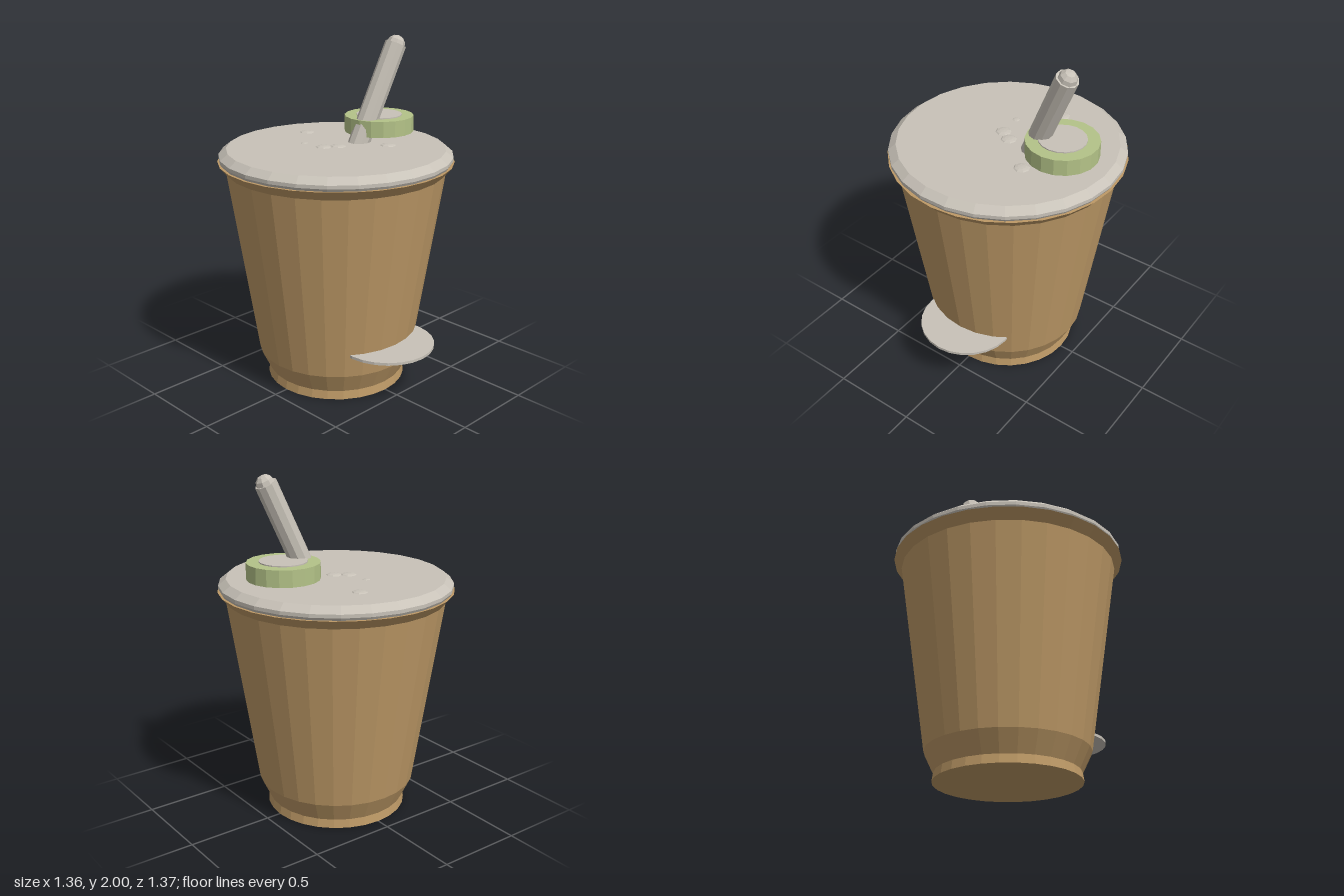
import * as THREE from 'three';

const mat = (name, color) => {
  const m = new THREE.MeshStandardMaterial({ color, flatShading: true });
  m.name = name;
  return m;
};

export function createModel() {
  const brown = mat('kraft brown', 0xbd9966);
  const grey = mat('warm grey', 0xc8c2b8);
  const green = mat('soft green', 0xb4c388);

  const group = new THREE.Group();
  group.name = 'lidded cup';
  const add = (name, geometry, material, x = 0, y = 0, z = 0) => {
    const mesh = new THREE.Mesh(geometry, material);
    mesh.name = name;
    mesh.position.set(x, y, z);
    group.add(mesh);
    return mesh;
  };
  const lathe = (profile, sides) =>
    new THREE.LatheGeometry(profile.map(([r, y]) => new THREE.Vector2(r, y)), sides);

  // Tapered cup with narrow foot and flared lip
  add('cup', lathe([
    [0, 0], [0.413, 0], [0.405, 0.05], [0.463, 0.17],
    [0.632, 1.275], [0.678, 1.33], [0, 1.33],
  ], 28), brown, 0, 0, -0.005);

  // Flat lid with bevelled rim
  add('lid', lathe([
    [0, 1.325], [0.66, 1.325], [0.672, 1.345], [0.672, 1.365], [0.628, 1.4], [0, 1.4],
  ], 26), grey, 0, 0, -0.005).rotation.y = Math.PI / 2;

  // Straw leaning to the left and slightly forward, with a rounded tip
  const base = new THREE.Vector3(0.16, 1.36, 0.006);
  const tip = new THREE.Vector3(0.417, 1.95, 0.064);
  const axis = tip.clone().sub(base);
  const mid = base.clone().add(tip).multiplyScalar(0.5);
  const lean = new THREE.Quaternion().setFromUnitVectors(
    new THREE.Vector3(0, 1, 0), axis.clone().normalize());
  add('straw', new THREE.CylinderGeometry(0.063, 0.063, axis.length(), 10),
    grey, mid.x, mid.y, mid.z).quaternion.copy(lean);
  add('strawTip', new THREE.SphereGeometry(0.055, 8, 6),
    grey, 0.417, 1.946, 0.064).quaternion.copy(lean);

  // Round green stopper hovering over the lid, with a thin cap plate
  add('stopper', new THREE.CylinderGeometry(0.205, 0.205, 0.095, 18), green, 0.36, 1.483, -0.006);
  add('stopperPlate', new THREE.CylinderGeometry(0.135, 0.135, 0.008, 18), grey, 0.36, 1.533, -0.006);

  // Low droplets on the lid
  for (const [x, z, r] of [
    [-0.06, -0.045, 0.046], [0.01, 0.002, 0.046], [0.12, -0.378, 0.044],
    [0.23, 0.187, 0.046], [-0.075, -0.19, 0.022],
  ]) {
    add('droplet', new THREE.SphereGeometry(r, 8, 6), grey, x, 1.4, z).scale.y = 0.2;
  }

  // Thin horizontal disc set into the front of the cup
  add('frontDisc', new THREE.CylinderGeometry(0.28, 0.28, 0.016, 24), grey, 0, 0.308, 0.405);

  return group;
}
